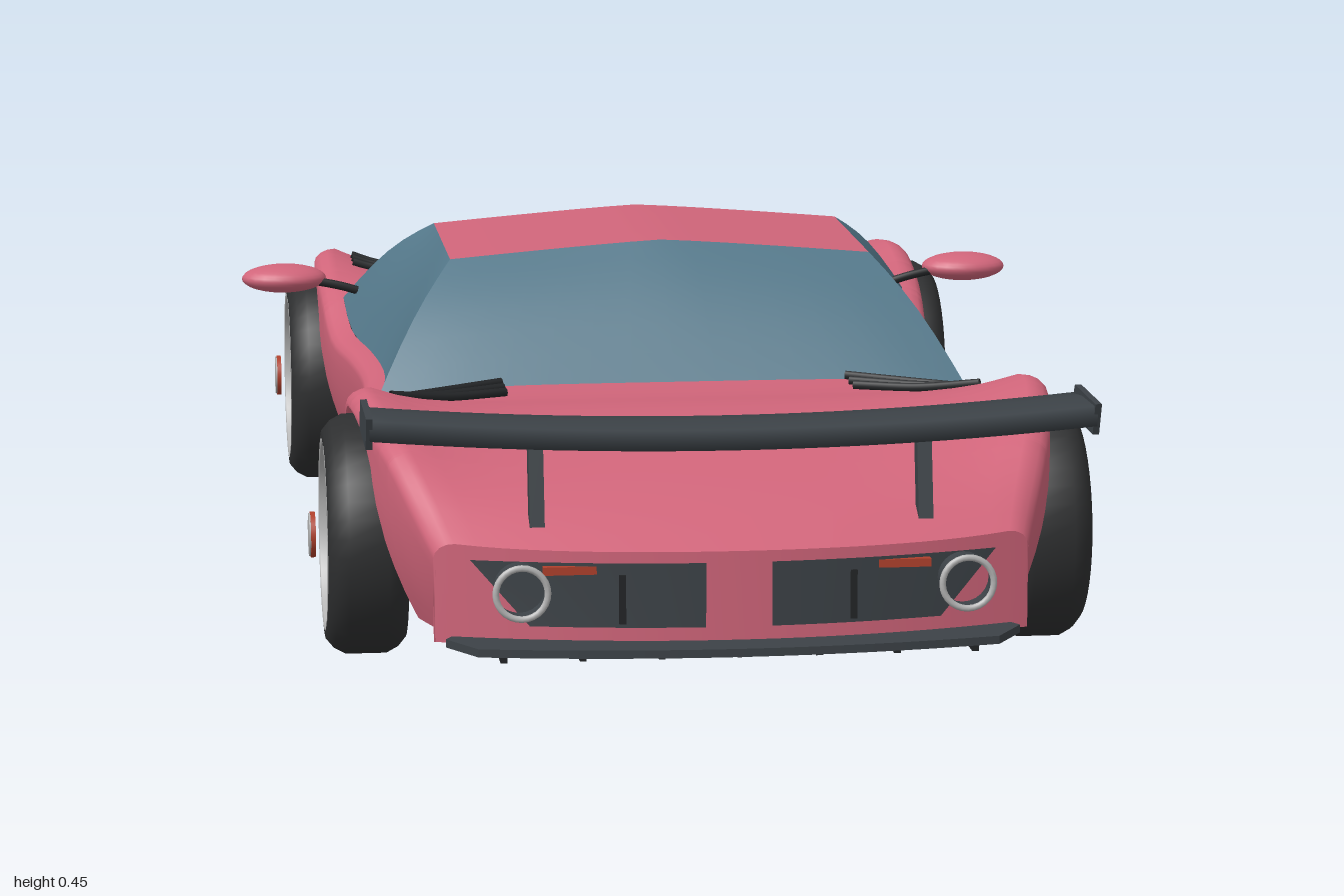
import * as THREE from 'three';

const mat = (color) => new THREE.MeshStandardMaterial({ color, side: THREE.DoubleSide });
const M = {
  paint: mat(0xd0657a), glass: mat(0x54788a), dark: mat(0x3c4247), black: mat(0x222426),
  tyre: mat(0x2e2f30), metal: mat(0xb4b4b4), disc: mat(0x77797b), red: mat(0xb0402c),
};

// Smooth curve through [z, value] keys
function keyed(keys) {
  const slope = (i) => {
    const a = keys[Math.max(i - 1, 0)], b = keys[Math.min(i + 1, keys.length - 1)];
    return (b[1] - a[1]) / (b[0] - a[0]);
  };
  return (z) => {
    let i = 0;
    while (i < keys.length - 2 && z > keys[i + 1][0]) i++;
    const [a, va] = keys[i], [b, vb] = keys[i + 1], h = b - a;
    const t = THREE.MathUtils.clamp((z - a) / h, 0, 1), t2 = t * t, t3 = t2 * t;
    return (2 * t3 - 3 * t2 + 1) * va + (t3 - 2 * t2 + t) * h * slope(i)
      + (3 * t2 - 2 * t3) * vb + (t3 - t2) * h * slope(i + 1);
  };
}

// Surface from fn(i, j) -> [x, y, z]; skip(i, j) leaves holes
function grid(nu, nv, fn, skip = () => false) {
  const pos = [], idx = [];
  for (let i = 0; i <= nu; i++) for (let j = 0; j <= nv; j++) pos.push(...fn(i, j));
  for (let i = 0; i < nu; i++) for (let j = 0; j < nv; j++) {
    if (skip(i, j)) continue;
    const a = i * (nv + 1) + j, b = a + nv + 1;
    idx.push(a, a + 1, b, a + 1, b + 1, b);
  }
  const g = new THREE.BufferGeometry();
  g.setAttribute('position', new THREE.Float32BufferAttribute(pos, 3));
  g.setIndex(idx);
  g.computeVertexNormals();
  return g;
}

const lerp = THREE.MathUtils.lerp;
const FRONT = -0.97, REAR = 0.93, CAB_F = -0.38, CAB_R = 0.25, BASE = 0.088, ARCH = 0.195;
const AXLES = [-0.56, 0.55];

// Body outline: half width, centre line height, fender crest height
const width = keyed([[-0.97, 0.37], [-0.9, 0.395], [-0.8, 0.414], [-0.6, 0.438], [-0.36, 0.435], [-0.15, 0.408],
  [0, 0.4], [0.15, 0.412], [0.36, 0.44], [0.53, 0.446], [0.65, 0.43], [0.75, 0.408], [0.93, 0.368]]);
const centreY = keyed([[-0.97, 0.2], [-0.92, 0.235], [-0.8, 0.27], [-0.6, 0.292], [-0.38, 0.308], [0.25, 0.285],
  [0.35, 0.286], [0.5, 0.302], [0.62, 0.298], [0.75, 0.27], [0.85, 0.24], [0.93, 0.205]]);
const crestY = keyed([[-0.97, 0.205], [-0.9, 0.245], [-0.75, 0.302], [-0.57, 0.338], [-0.43, 0.318], [-0.38, 0.3],
  [-0.3, 0.266], [-0.2, 0.26], [0.15, 0.26], [0.25, 0.265], [0.36, 0.285], [0.43, 0.315], [0.55, 0.338],
  [0.7, 0.31], [0.85, 0.25], [0.93, 0.21]]);
const sideX = (z, y) => width(z) - 0.035 * Math.max(0, (0.25 - y) / 0.16) ** 2;
const bow = (z, x) => {
  const t = THREE.MathUtils.smoothstep(Math.abs(z), 0.7, 0.97);
  return z - Math.sign(z) * (z < 0 ? 0.11 : 0.065) * t * (x / 0.36) ** 2;
};
// Lower edge: round arch over each wheel with legs flaring out to the sill
function sillY(z) {
  for (const c of AXLES) {
    const d = Math.abs(z - c);
    if (d < ARCH) return Math.min(0.155 + Math.sqrt(Math.max(0, 0.161 ** 2 - d * d)) + Math.max(0, d - 0.15) * 9,
      BASE + (ARCH - d) * 2.3);
  }
  return BASE;
}
const SIDE = 6, ROUND = 4, TOP = 12, HALF = SIDE + ROUND + TOP;
const deck = (z, f) => {
  const x = (width(z) - 0.03) * f;
  return [x, lerp(centreY(z), crestY(z), Math.abs(f) ** 5), bow(z, x)];
};
// Cross-section point, j running from the +x sill over the top to the -x sill
function section(z, j) {
  const s = j > HALF ? -1 : 1, k = j > HALF ? 2 * HALF - j : j;
  if (k >= SIDE + ROUND) return deck(z, s * (HALF - k) / TOP);
  const ys = crestY(z) - 0.02;
  let x, y;
  if (k <= SIDE) {
    y = lerp(Math.min(sillY(z), ys), ys, k / SIDE);
    x = sideX(z, y);
  } else {
    const a = (k - SIDE) / ROUND * Math.PI / 2;
    y = ys + 0.02 * Math.sin(a);
    x = lerp(width(z) - 0.03, sideX(z, ys), Math.cos(a));
  }
  return [s * x, y, bow(z, x)];
}

function makeWheel() {
  const wheel = new THREE.Group();
  const add = (name, geo, m) => {
    const mesh = new THREE.Mesh(geo, m);
    mesh.name = name;
    wheel.add(mesh);
    return mesh;
  };
  const lathe = (pts) => new THREE.LatheGeometry(pts.map((p) => new THREE.Vector2(...p)), 40).rotateZ(-Math.PI / 2);
  const cyl = (r, h, x) => new THREE.CylinderGeometry(r, r, h, 28).rotateZ(-Math.PI / 2).translate(x, 0, 0);
  add('tyre', lathe([[0.118, -0.05], [0.132, -0.05], [0.144, -0.04], [0.152, -0.025], [0.152, 0.025],
    [0.144, 0.04], [0.132, 0.05], [0.118, 0.05]]), M.tyre);
  add('rim', lathe([[0.122, -0.051], [0.112, -0.05], [0.108, 0], [0.112, 0.05], [0.122, 0.051]]), M.metal);
  add('brakeDisc', cyl(0.109, 0.01, 0), M.disc);
  add('caliper', new THREE.BoxGeometry(0.025, 0.07, 0.025).translate(0.02, 0, 0.078), M.red);
  for (const x of [-0.034, 0.036]) for (let i = 0; i < 10; i++) {
    const spoke = add('spoke', new THREE.BoxGeometry(0.01, 0.095, 0.015).translate(x, 0.062, 0), M.metal);
    spoke.rotation.x = i * Math.PI / 5;
  }
  add('hub', cyl(0.03, 0.08, 0), M.metal);
  add('hubCap', cyl(0.029, 0.006, 0.064), M.red);
  add('hubFace', cyl(0.027, 0.002, 0.068), M.metal);
  return wheel;
}

export function createModel() {
  const car = new THREE.Group();
  const add = (name, geo, m) => {
    const mesh = new THREE.Mesh(geo, m);
    mesh.name = name;
    car.add(mesh);
    return mesh;
  };
  const box = (w, h, d, x, y, z) => new THREE.BoxGeometry(w, h, d).translate(x, y, z);
  const tube = (pts, r) => new THREE.TubeGeometry(
    new THREE.CatmullRomCurve3(pts.map((p) => new THREE.Vector3(...p))), 24, r, 8);

  // Body shell, open below and under the cabin, with wheel arches
  const zs = [CAB_F, CAB_R];
  for (let i = 0; i <= 60; i++) zs.push(lerp(FRONT, REAR, i / 60));
  for (const c of AXLES) for (let i = 0; i <= 24; i++) zs.push(c - ARCH * Math.cos(i / 24 * Math.PI));
  zs.sort((a, b) => a - b);
  add('bodyShell', grid(zs.length - 1, 2 * HALF, (i, j) => section(zs[i], j), (i, j) =>
    zs[i] >= CAB_F && zs[i + 1] <= CAB_R && j >= SIDE + ROUND && j < HALF + TOP), M.paint);

  // Nose and tail panels with dark grilles tapering towards the bottom
  for (const [name, z, s, top] of [['nosePanel', FRONT, -1, 0.182], ['tailPanel', REAR, 1, 0.192]]) {
    add(name, grid(2, 2 * HALF, (i, j) => {
      const p = section(z, s > 0 ? j : 2 * HALF - j);
      return [p[0], lerp(p[1], BASE, i / 2), p[2]];
    }), M.paint);
    for (const m of [-1, 1]) {
      add('grille', grid(1, 12, (i, j) => {
        const t = m * s > 0 ? 1 - j / 12 : j / 12;
        const x = m * lerp(0.04, i ? 0.25 : 0.32, t);
        return [x, i ? 0.113 : top, bow(z, x) + s * 0.004];
      }), M.dark);
      add('grilleBar', box(0.008, 0.06, 0.008, m * 0.14, 0.148, bow(z, 0.14) + s * 0.004), M.black);
    }
  }

  // Cabin glass: four panes from the body opening up to the ridged roof
  const roof = (f, z) => [0.285 * f, 0.45 - 0.022 * Math.abs(f) ** 1.15, z];
  const R_F = -0.235, R_R = 0.085, N = 14;
  const panes = {
    leftWindow: (t) => [deck(lerp(CAB_R, CAB_F, t), 1), roof(1, lerp(R_R, R_F, t))],
    windscreen: (t) => [deck(CAB_F, 1 - 2 * t), roof(1 - 2 * t, R_F)],
    rightWindow: (t) => [deck(lerp(CAB_F, CAB_R, t), -1), roof(-1, lerp(R_F, R_R, t))],
    rearWindow: (t) => [deck(CAB_R, 2 * t - 1), roof(2 * t - 1, R_R)],
  };
  for (const [name, edge] of Object.entries(panes)) {
    add(name, grid(6, N, (i, j) => {
      const [a, b] = edge(j / N), u = i / 6, p = a.map((v, k) => lerp(v, b[k], u));
      p[1] += 0.014 * Math.sin(Math.PI * u);
      return p;
    }), M.glass);
  }
  add('roof', grid(4, N, (i, j) => roof(1 - 2 * j / N, lerp(R_F, R_R, i / 4))), M.paint);

  // Front splitter and rear diffuser plates with fins
  const plates = [['splitter', -1, [[0.29, 0.84], [0.35, 0.89], [0.335, 0.975]], 1.02],
    ['diffuser', 1, [[0.31, 0.82], [0.35, 0.89], [0.315, 0.945]], 1.01]];
  for (const [name, s, [a, b, c], tip] of plates) {
    const plate = new THREE.Shape();
    plate.moveTo(-a[0], a[1]).lineTo(-b[0], b[1]).lineTo(-c[0], c[1]);
    plate.quadraticCurveTo(0, tip, ...c).lineTo(...b).lineTo(...a);
    const g = new THREE.ExtrudeGeometry(plate, { depth: 0.01, bevelEnabled: false, curveSegments: 16 });
    g.rotateX(s * Math.PI / 2).translate(0, s > 0 ? 0.096 : 0.086, 0);
    add(name, g, M.dark);
  }
  for (let i = -3; i <= 3; i++) add('diffuserFin', box(0.008, 0.008, 0.12, i * 0.095, 0.083, 0.89), M.black);

  // Rear wing, a solid foil curved across its span
  const wingY = (x) => 0.32 + 0.02 * (x / 0.44) ** 2;
  const foil = [[0.75, 0], [0.9, 0.002], [0.9, 0.027], [0.82, 0.025], [0.75, 0.016], [0.75, 0]];
  add('wing', grid(24, 5, (i, j) => {
    const x = lerp(-0.44, 0.44, i / 24);
    return [x, wingY(x) + foil[j][1], foil[j][0]];
  }), M.dark);

  for (const m of [-1, 1]) {
    // Wing end plates and struts
    const end = new THREE.Shape([[-0.905, 0.37], [-0.775, 0.37], [-0.75, 0.33], [-0.89, 0.33]].map((p) => new THREE.Vector2(...p)));
    add('wingEndPlate', new THREE.ExtrudeGeometry(end, { depth: 0.008, bevelEnabled: false })
      .rotateY(Math.PI / 2).translate(m * 0.44 - 0.004, 0, 0), M.dark);
    const strut = add('wingStrut', box(0.018, 0.115, 0.022, 0, 0, 0), M.dark);
    strut.position.set(m * 0.237, 0.28, 0.845);
    strut.rotation.x = -0.2;

    // Exhausts and tail lights
    add('exhaust', new THREE.CylinderGeometry(0.031, 0.031, 0.036, 24, 1, true).rotateX(Math.PI / 2)
      .translate(m * 0.267, 0.174, 0.978), M.dark);
    add('exhaustRing', new THREE.TorusGeometry(0.031, 0.004, 8, 28).translate(m * 0.267, 0.174, 0.996), M.metal);
    add('tailLight', box(0.07, 0.01, 0.01, m * 0.2, 0.183, bow(REAR, 0.2) + 0.004), M.red);

    // Mirrors
    add('mirrorArm', tube([[m * 0.37, 0.31, -0.345], [m * 0.41, 0.322, -0.347], [m * 0.46, 0.332, -0.35]], 0.006), M.black);
    add('mirror', new THREE.SphereGeometry(1, 24, 16).scale(0.06, 0.02, 0.042).translate(m * 0.492, 0.333, -0.36), M.paint);

    // Hood and rear deck vents
    const vent = (name, ends) => add(name, tube(ends.map(([x, z]) => {
      const p = deck(z, x / (width(z) - 0.03));
      return [m * x, p[1] + 0.005, z];
    }), 0.006), M.black);
    for (let i = 0; i < 3; i++) {
      vent('hoodVent', [[0.33, -0.505 - i * 0.026], [0.36, -0.509 - i * 0.026], [0.385, -0.512 - i * 0.026]]);
      vent('deckVent', [[0.23, 0.321], [0.31, 0.358], [0.385, 0.395]].map(([x, z]) => [x, z - 0.037 * i]));
    }

    // Side intake, sill strip and slim skirt rail following the flank
    const flank = (z, y, out) => [m * (sideX(z, y) + out), y, z];
    const patch = (name, z0, z1, y0, y1, out, material) => add(name, grid(12, 4, (i, j) =>
      flank(lerp(z0, z1, i / 12), lerp(y0, y1, m > 0 ? j / 4 : 1 - j / 4), out)), material);
    patch('sideIntake', 0.15, 0.365, 0.108, 0.225, 0.004, M.dark);
    patch('intakeSlot', 0.2, 0.34, 0.155, 0.195, 0.007, M.black);
    patch('sillStrip', -0.365, 0.355, BASE, 0.106, 0.005, M.black);
    add('skirtRail', tube([-0.365, -0.2, 0, 0.2, 0.36].map((z) => flank(z, 0.096, 0.03)), 0.004), M.black);

    // Wheels
    for (const z of AXLES) {
      const wheel = makeWheel();
      wheel.name = z < 0 ? 'noseWheel' : 'tailWheel';
      wheel.position.set(m * 0.43, 0.155, z);
      if (m < 0) wheel.rotation.y = Math.PI;
      car.add(wheel);
    }
  }
  return car;
}
